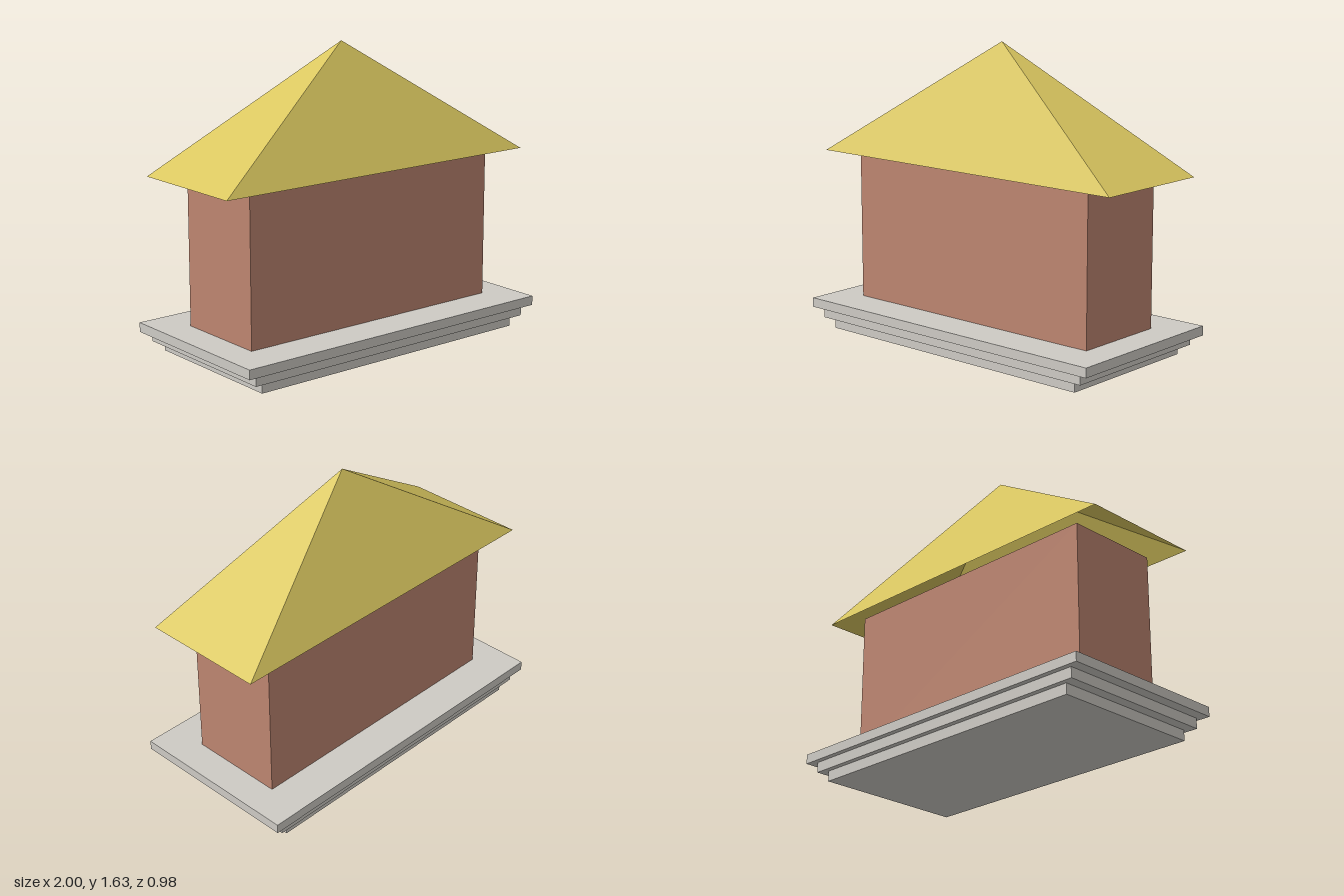
import * as THREE from 'three';

const stone = new THREE.MeshStandardMaterial({ color: 0xcdcac4 });
const brick = new THREE.MeshStandardMaterial({ color: 0xbd8570 });
const thatch = new THREE.MeshStandardMaterial({ color: 0xd9c65f, flatShading: true, side: THREE.DoubleSide });

// Box centred on x and z, spanning y0 to y1
function block(name, width, depth, y0, y1, material) {
  const mesh = new THREE.Mesh(new THREE.BoxGeometry(width, y1 - y0, depth), material);
  mesh.position.y = (y0 + y1) / 2;
  mesh.name = name;
  return mesh;
}

export function createModel() {
  const house = new THREE.Group();
  house.name = 'house';

  // Stepped plinth, widening upwards
  const plinth = new THREE.Group();
  plinth.name = 'plinth';
  const levels = [0, 0.057, 0.113, 0.165];
  for (let i = 0; i < 3; i++) {
    plinth.add(block(`plinthStep${i + 1}`, 1.725 + i * 0.118, 0.864 + i * 0.059, levels[i], levels[i + 1], stone));
  }
  house.add(plinth);

  // Walls
  house.add(block('walls', 1.61, 0.54, 0.165, 0.985, brick));

  // Pyramid roof, open underneath
  const eaves = 0.985, peak = 1.635;
  const roofShape = new THREE.ConeGeometry(Math.SQRT2, peak - eaves, 4, 1, true);
  roofShape.rotateY(Math.PI / 4).scale(1, 1, 0.35);
  const roof = new THREE.Mesh(roofShape, thatch);
  roof.position.y = (eaves + peak) / 2;
  roof.name = 'roof';
  house.add(roof);

  return house;
}
